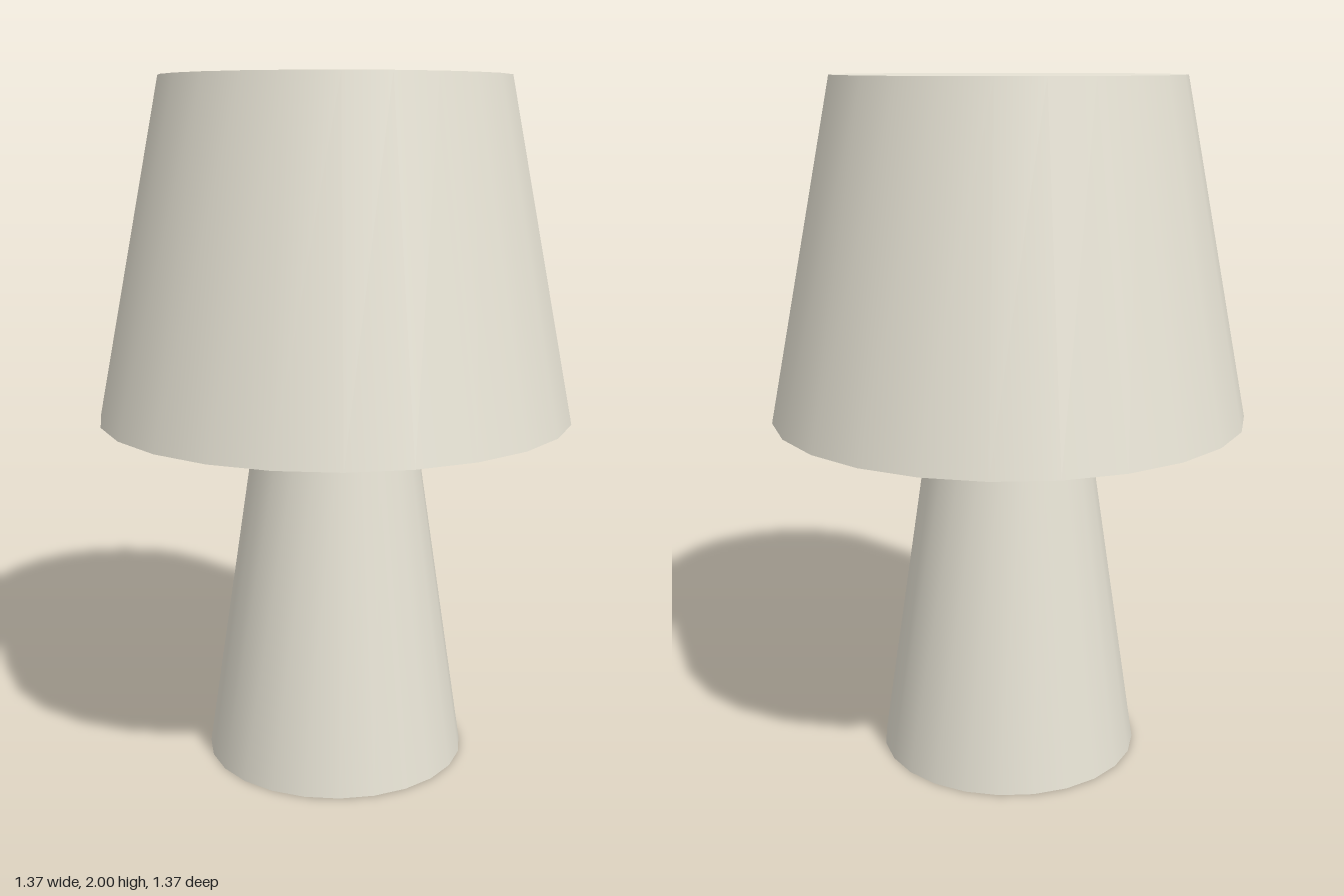
import * as THREE from 'three';

const SIDES = 24;

export function createModel() {
  const lamp = new THREE.Group();
  lamp.name = 'tableLamp';

  const cream = new THREE.MeshStandardMaterial({ color: 0xe6e2d4 });
  const black = new THREE.MeshStandardMaterial({ color: 0x262626 });
  const warm = new THREE.MeshStandardMaterial({ color: 0xf0e6b8 });

  // A round, capped section between two heights
  function section(name, rBottom, rTop, y0, y1, material) {
    const mesh = new THREE.Mesh(new THREE.CylinderGeometry(rTop, rBottom, y1 - y0, SIDES), material);
    mesh.name = name;
    mesh.position.y = (y0 + y1) / 2;
    lamp.add(mesh);
  }

  section('base', 0.385, 0.245, 0, 0.94, cream);
  section('neck', 0.13, 0.13, 0.93, 1.03, black);
  section('diffuser', 0.607, 0.607, 1.02, 1.05, warm);
  section('shade', 0.687, 0.495, 1.037, 2, cream);

  return lamp;
}
